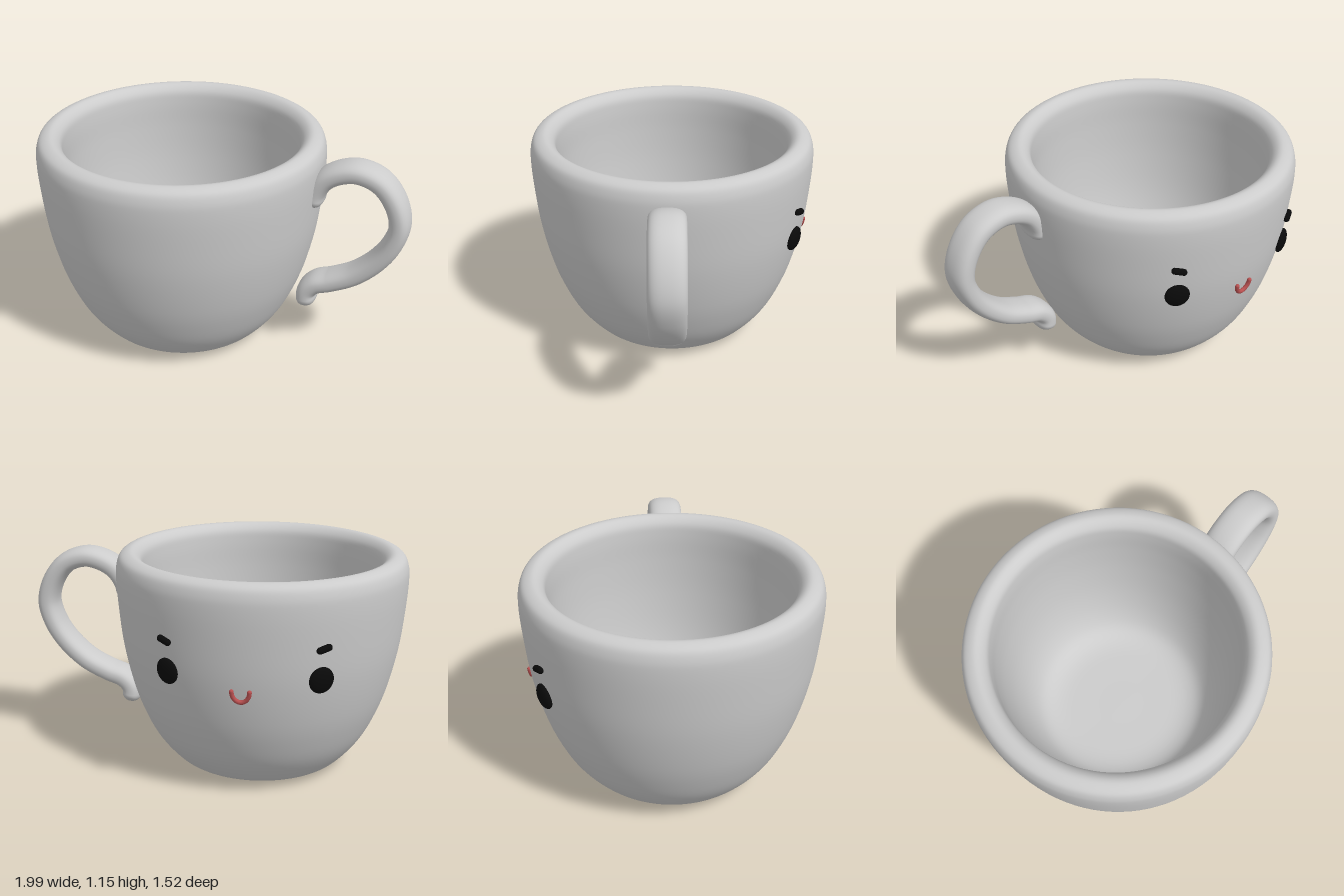
import * as THREE from 'three';
import { ParametricGeometry } from 'three/addons/geometries/ParametricGeometry.js';

const CUP_X = -0.24;

function material(color) {
  return new THREE.MeshStandardMaterial({ color });
}

function addMesh(parent, name, geometry, mat) {
  const mesh = new THREE.Mesh(geometry, mat);
  mesh.name = name;
  parent.add(mesh);
  return mesh;
}

// Cup wall: one closed profile, underside -> outer wall -> rim -> inner wall -> floor
function cupGeometry() {
  const profile = [
    [0, 0.003], [0.2, 0.003], [0.37, 0.008], [0.44, 0.03], [0.5, 0.085], [0.575, 0.185],
    [0.635, 0.31], [0.68, 0.44], [0.727, 0.65], [0.75, 0.85], [0.76, 1.02], [0.755, 1.085],
    [0.735, 1.13], [0.69, 1.15], [0.66, 1.143], [0.63, 1.11], [0.62, 1.05], [0.615, 0.9],
    [0.6, 0.7], [0.56, 0.46], [0.5, 0.28], [0.44, 0.19], [0.36, 0.15], [0.2, 0.14], [0, 0.14],
  ].map(([r, y]) => new THREE.Vector3(r, y, 0));
  const points = new THREE.CatmullRomCurve3(profile, false, 'centripetal').getPoints(120)
    .map((p) => new THREE.Vector2(Math.max(p.x, 0), Math.max(p.y, 0)));
  return new THREE.LatheGeometry(points, 96);
}

// Handle: a rounded strap swept along a hooked path, closing to round tips
function handleGeometry() {
  const path = new THREE.CatmullRomCurve3([
    [0.49, 0.84], [0.505, 0.93], [0.555, 1.005], [0.634, 1.05], [0.72, 1.064], [0.826, 1.027],
    [0.906, 0.93], [0.94, 0.807], [0.91, 0.69], [0.842, 0.583], [0.73, 0.48], [0.607, 0.417],
    [0.525, 0.385], [0.482, 0.335], [0.485, 0.245],
  ].map(([x, y]) => new THREE.Vector3(x, y, 0)), false, 'centripetal');
  const length = path.getLength();
  const cap = 0.055;
  const soft = (t) => Math.sign(t) * Math.pow(Math.abs(t), 0.8);
  return new ParametricGeometry((u, v, target) => {
    const p = path.getPointAt(v);
    const t = path.getTangentAt(v);
    const d = Math.min(1, (Math.min(v, 1 - v) * length) / cap);
    const s = Math.max(0.01, Math.sqrt(1 - (1 - d) * (1 - d)));
    const a = u * Math.PI * 2;
    const n = 0.054 * s * soft(Math.cos(a));
    target.set(p.x - t.y * n, p.y + t.x * n, 0.026 + 0.092 * s * soft(Math.sin(a)));
  }, 32, 160);
}

// Pivot on the cup axis whose local +z points out of the back at the given angle
function facePivot(parent, name, angle) {
  const pivot = new THREE.Group();
  pivot.name = name;
  pivot.rotation.y = Math.PI + angle;
  parent.add(pivot);
  return pivot;
}

export function createModel() {
  const model = new THREE.Group();
  model.name = 'cup';
  const grey = material(0xcccccc);
  const black = material(0x0a0a0a);
  const red = material(0xb85050);

  addMesh(model, 'bowl', cupGeometry(), grey).position.x = CUP_X;
  addMesh(model, 'handle', handleGeometry(), grey);

  const face = new THREE.Group();
  face.name = 'face';
  face.position.x = CUP_X;
  model.add(face);

  // Eyes and eyebrows, mirrored about the face centre
  for (const side of [-1, 1]) {
    const label = side < 0 ? 'left' : 'right';
    const pivot = facePivot(face, label + 'EyeGroup', side * THREE.MathUtils.degToRad(30));
    const eye = addMesh(pivot, label + 'Eye', new THREE.SphereGeometry(1, 32, 20), black);
    eye.scale.set(0.063, 0.067, 0.028);
    eye.position.set(0, 0.68, 0.738);
    eye.rotation.x = 0.1;

    const brow = addMesh(pivot, label + 'Eyebrow', new THREE.CapsuleGeometry(0.017, 0.046, 8, 16), black);
    brow.position.set(0, 0.84, 0.758);
    brow.rotation.z = Math.PI / 2 + side * 0.27;
  }

  // Smile: a small U-shaped tube with rounded ends
  const mouth = facePivot(face, 'mouth', 0);
  const smile = [];
  for (let i = 0; i <= 12; i++) {
    const a = Math.PI * (1 + i / 12);
    smile.push(new THREE.Vector3(0.043 * Math.cos(a), 0.632 + 0.056 * Math.sin(a), 0.733 + 0.009 * Math.sin(a)));
  }
  addMesh(mouth, 'smile', new THREE.TubeGeometry(new THREE.CatmullRomCurve3(smile), 32, 0.011, 12), red);
  for (const end of [smile[0], smile[12]]) {
    addMesh(mouth, 'smileEnd', new THREE.SphereGeometry(0.011, 12, 8), red).position.copy(end);
  }
  return model;
}
